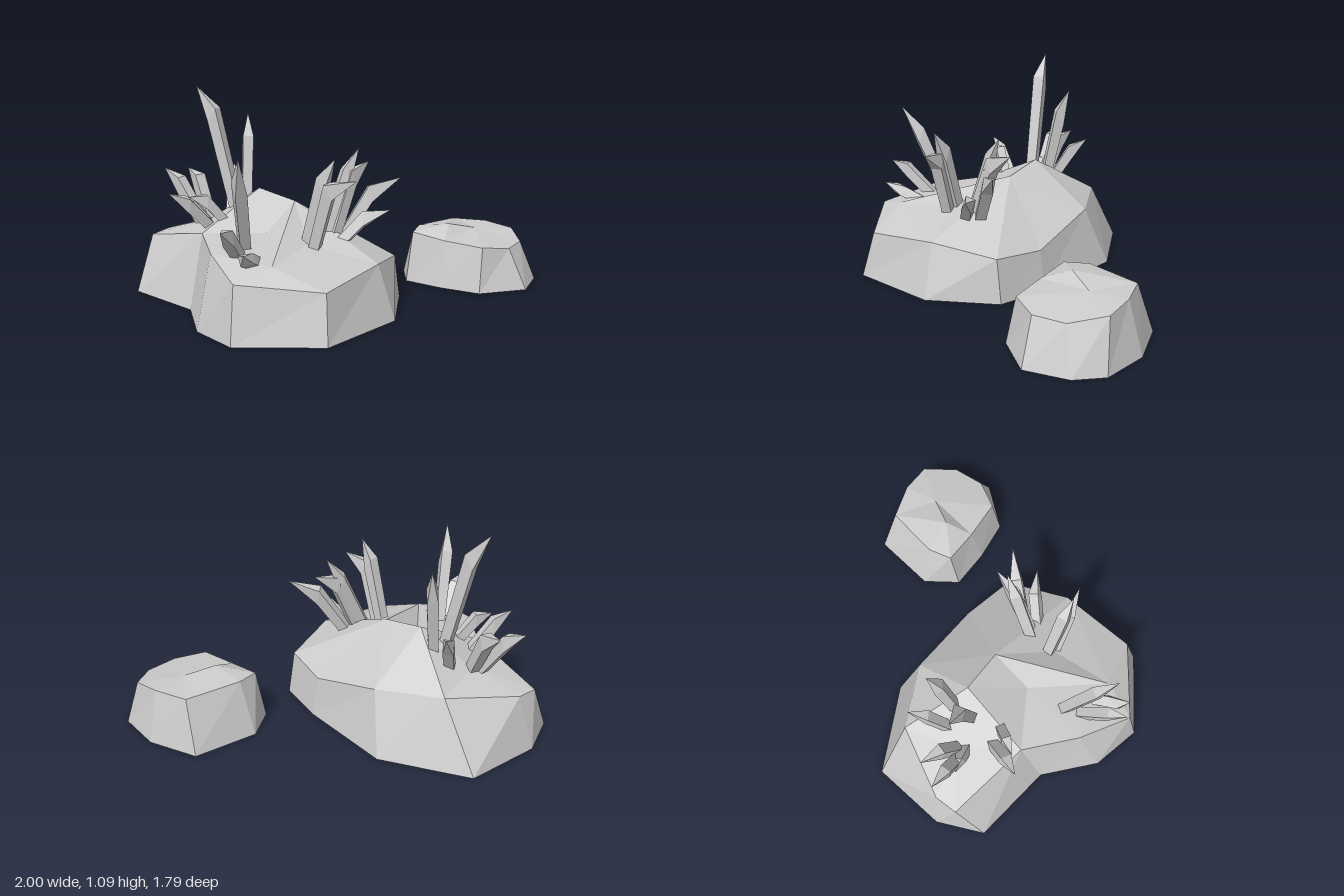
import * as THREE from 'three';

const material = new THREE.MeshStandardMaterial({
  color: 0xcccccc, flatShading: true, side: THREE.DoubleSide,
});

// Flat-shaded mesh from points and triangles
function facetedMesh(name, points, faces) {
  const geometry = new THREE.BufferGeometry();
  geometry.setAttribute('position', new THREE.Float32BufferAttribute(points.flat(), 3));
  geometry.setIndex(faces.flat());
  const flat = geometry.toNonIndexed();
  flat.computeVertexNormals();
  const mesh = new THREE.Mesh(flat, material);
  mesh.name = name;
  return mesh;
}

// Hollow boulder: ground outline [x, z], shoulder ring and inner crown points [x, y, z],
// with crown triangles indexing the shoulder ring first, then the inner points.
function boulder(name, outline, shoulder, inner, crown) {
  const n = outline.length;
  const ground = n + inner.length;
  const faces = [...crown];
  for (let i = 0; i < n; i++) {
    const j = (i + 1) % n;
    faces.push([i, j, ground + j], [i, ground + j, ground + i]);
  }
  return facetedMesh(name, [...shoulder, ...inner, ...outline.map(([x, z]) => [x, 0, z])], faces);
}

// Four-sided shard: straight shaft from root to collar, then a point bent towards the tip.
// The shaft runs on below the rock surface.
function crystal(root, collar, tip, radius) {
  const a = new THREE.Vector3(...root), b = new THREE.Vector3(...collar), t = new THREE.Vector3(...tip);
  const dir = b.clone().sub(a).normalize();
  const out = t.clone().sub(b).projectOnPlane(dir).normalize();
  const side = new THREE.Vector3().crossVectors(dir, out);
  a.addScaledVector(dir, -0.14);
  const ring = (center, r, slant) => [0, 1, 2, 3].map((i) => {
    const angle = Math.PI * (0.25 + i / 2);
    const c = Math.cos(angle) * r, s = Math.sin(angle) * r;
    return center.clone().addScaledVector(out, c).addScaledVector(side, s)
      .addScaledVector(dir, -c * slant).toArray();
  });
  const faces = [[0, 2, 1], [0, 3, 2]];
  for (let i = 0; i < 4; i++) {
    const j = (i + 1) % 4;
    faces.push([i, j, 4 + i], [j, 4 + j, 4 + i], [4 + i, 4 + j, 8]);
  }
  return facetedMesh('crystal',
    [...ring(a, radius * 0.85, 0), ...ring(b, radius, 1), t.toArray()], faces);
}

function cluster(name, shards) {
  const group = new THREE.Group();
  group.name = name;
  for (const shard of shards) group.add(crystal(...shard));
  return group;
}

export function createModel() {
  const model = new THREE.Group();
  model.name = 'crystalRocks';

  // Large boulder; inner points: peak 11, ridge 12, hollow 13, front shelf 14,
  // right shelf 15, left shelf 16
  model.add(boulder('largeBoulder',
    [[-0.86, -0.33], [-0.38, -0.43], [0.13, -0.24], [0.38, -0.1], [0.47, 0.28], [0.29, 0.74],
      [-0.13, 0.89], [-0.37, 0.76], [-0.55, 0.49], [-0.96, 0.32], [-1, 0.06]],
    [[-0.65, 0.34, -0.25], [-0.3, 0.32, -0.32], [0.11, 0.21, -0.21], [0.36, 0.23, -0.07],
      [0.38, 0.28, 0.28], [0.26, 0.24, 0.68], [-0.14, 0.28, 0.83], [-0.36, 0.35, 0.62],
      [-0.54, 0.37, 0.36], [-0.95, 0.28, 0.16], [-0.92, 0.29, 0.04]],
    [[-0.38, 0.55, 0], [-0.15, 0.51, 0.06], [-0.22, 0.38, 0.27], [-0.02, 0.33, 0.66],
      [0.03, 0.36, 0.33], [-0.65, 0.37, 0.05]],
    [[11, 1, 0], [11, 12, 1], [12, 2, 1], [12, 3, 2], [12, 4, 3], [12, 15, 4], [15, 14, 4],
      [12, 14, 15], [14, 5, 4], [14, 6, 5], [14, 7, 6], [14, 13, 7], [13, 8, 7], [13, 11, 8],
      [12, 13, 14], [11, 13, 12], [11, 16, 8], [16, 9, 8], [16, 10, 9], [16, 0, 10],
      [11, 0, 16]]));

  // Small boulder; inner points: bump 9, dip 10
  model.add(boulder('smallBoulder',
    [[0.4, -0.88], [0.68, -0.9], [0.92, -0.81], [1, -0.67], [0.99, -0.44], [0.77, -0.28],
      [0.55, -0.31], [0.34, -0.37], [0.27, -0.56]],
    [[0.49, 0.27, -0.82], [0.68, 0.27, -0.83], [0.84, 0.25, -0.79], [0.92, 0.22, -0.62],
      [0.89, 0.22, -0.45], [0.77, 0.24, -0.33], [0.55, 0.25, -0.37], [0.36, 0.27, -0.42],
      [0.36, 0.28, -0.55]],
    [[0.54, 0.31, -0.52], [0.66, 0.27, -0.64]],
    [[10, 1, 0], [10, 2, 1], [10, 3, 2], [10, 4, 3], [10, 5, 4], [10, 6, 5], [10, 9, 6],
      [9, 7, 6], [9, 8, 7], [9, 0, 8], [10, 0, 9]]));

  // Crystal clusters: [root, collar, tip, radius]
  model.add(cluster('leftCrystals', [
    [[0.02, 0.36, 0.3], [0.11, 0.67, 0.33], [0.18, 0.8, 0.35], 0.042],
    [[0.07, 0.36, 0.33], [0.15, 0.64, 0.35], [0.29, 0.7, 0.35], 0.042],
    [[0.06, 0.37, 0.18], [0.13, 0.66, 0.06], [0.18, 0.8, -0.01], 0.042],
    [[0.1, 0.36, 0.16], [0.15, 0.65, 0.04], [0.21, 0.72, -0.08], 0.042],
    [[0.13, 0.34, 0.12], [0.25, 0.57, 0.02], [0.39, 0.65, -0.06], 0.042],
    [[0.13, 0.32, 0.2], [0.25, 0.46, 0.13], [0.38, 0.51, 0.09], 0.038],
  ]));
  model.add(cluster('rightCrystals', [
    [[-0.48, 0.41, 0.06], [-0.61, 0.94, 0.06], [-0.71, 1.09, 0.06], 0.043],
    [[-0.47, 0.43, -0.03], [-0.49, 0.78, -0.1], [-0.51, 0.93, -0.15], 0.04],
    [[-0.57, 0.4, -0.04], [-0.6, 0.55, -0.13], [-0.63, 0.63, -0.22], 0.038],
    [[-0.68, 0.35, 0.08], [-0.82, 0.55, 0.06], [-0.93, 0.63, 0.04], 0.042],
    [[-0.65, 0.36, 0.05], [-0.74, 0.56, 0], [-0.84, 0.62, -0.06], 0.042],
    [[-0.64, 0.36, 0.09], [-0.72, 0.43, 0.09], [-0.79, 0.46, 0.1], 0.036],
    [[-0.57, 0.38, 0.22], [-0.64, 0.5, 0.31], [-0.71, 0.57, 0.39], 0.04],
    [[-0.48, 0.41, 0.22], [-0.55, 0.52, 0.28], [-0.62, 0.55, 0.34], 0.036],
  ]));
  model.add(cluster('frontCrystals', [
    [[-0.24, 0.36, 0.49], [-0.2, 0.68, 0.62], [-0.16, 0.84, 0.71], 0.042],
    [[-0.23, 0.34, 0.58], [-0.22, 0.46, 0.71], [-0.21, 0.51, 0.81], 0.04],
    [[-0.13, 0.32, 0.6], [-0.12, 0.37, 0.72], [-0.1, 0.41, 0.8], 0.04],
  ]));
  return model;
}
